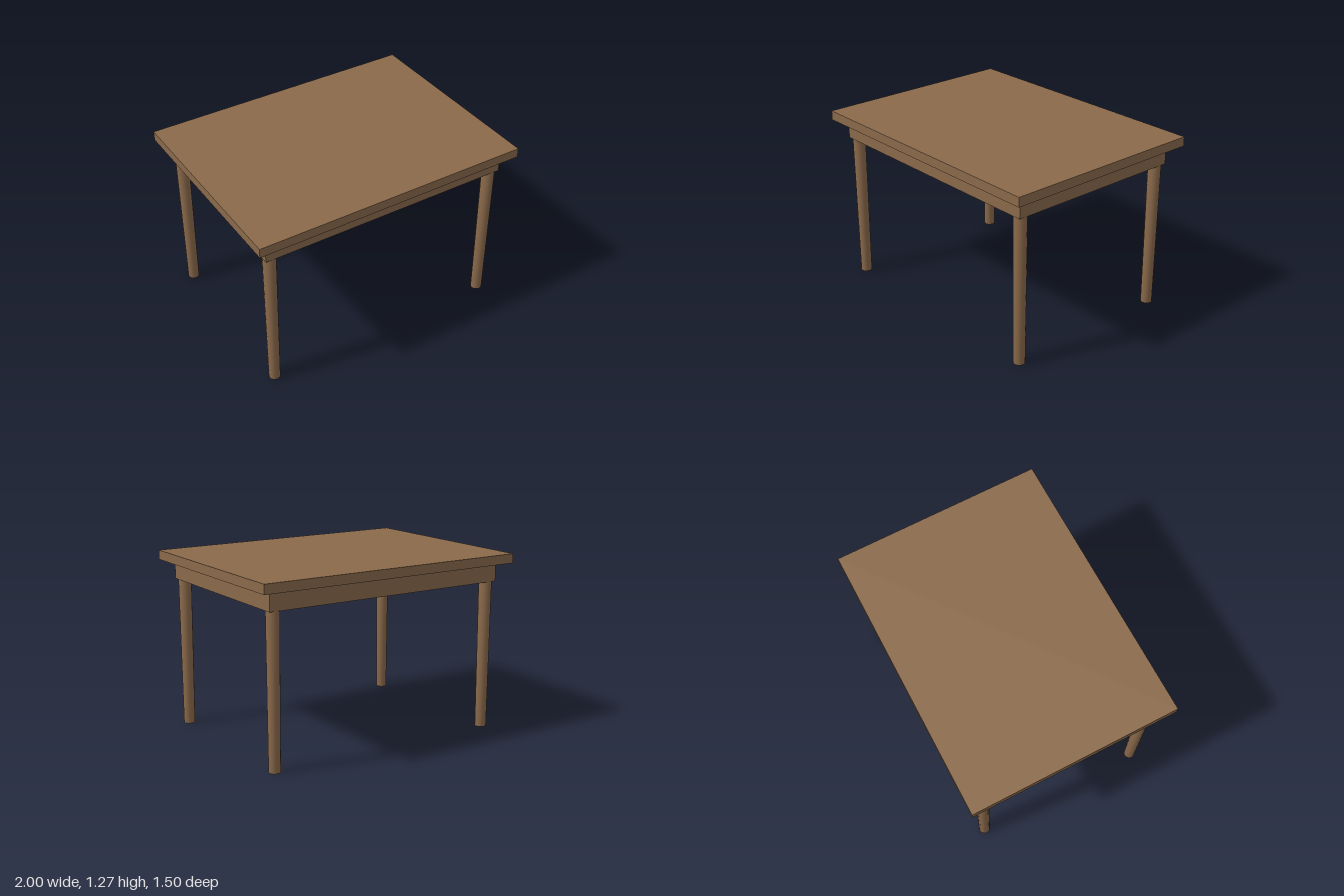
import * as THREE from 'three';
import { mergeVertices } from 'three/addons/utils/BufferGeometryUtils.js';

export function createModel() {
  const table = new THREE.Group();
  table.name = 'table';
  const wood = new THREE.MeshStandardMaterial({ color: 0x8b6a4b });
  wood.name = 'brown wood';

  const add = (name, geometry, x, y, z) => {
    const mesh = new THREE.Mesh(geometry, wood);
    mesh.name = name;
    mesh.position.set(x, y, z);
    table.add(mesh);
  };

  const apronBottom = 1.07, apronTop = 1.203, height = 1.27;

  // Overhanging top and the solid apron block beneath it
  add('tableTop', new THREE.BoxGeometry(2, height - apronTop, 1.5), 0, (height + apronTop) / 2, 0);
  add('apron', new THREE.BoxGeometry(1.834, apronTop - apronBottom, 1.334), 0, (apronTop + apronBottom) / 2, 0);

  // Tapered round legs, with normals smoothed across the end caps
  let legGeometry = new THREE.CylinderGeometry(0.046, 0.04, apronBottom, 16);
  legGeometry.deleteAttribute('normal');
  legGeometry.deleteAttribute('uv');
  legGeometry = mergeVertices(legGeometry);
  legGeometry.computeVertexNormals();

  for (const [side, x] of [['Left', 0.867], ['Right', -0.867]]) {
    for (const [end, z] of [['front', 0.617], ['back', -0.617]]) {
      add(`${end}${side}Leg`, legGeometry, x, apronBottom / 2, z);
    }
  }
  return table;
}
